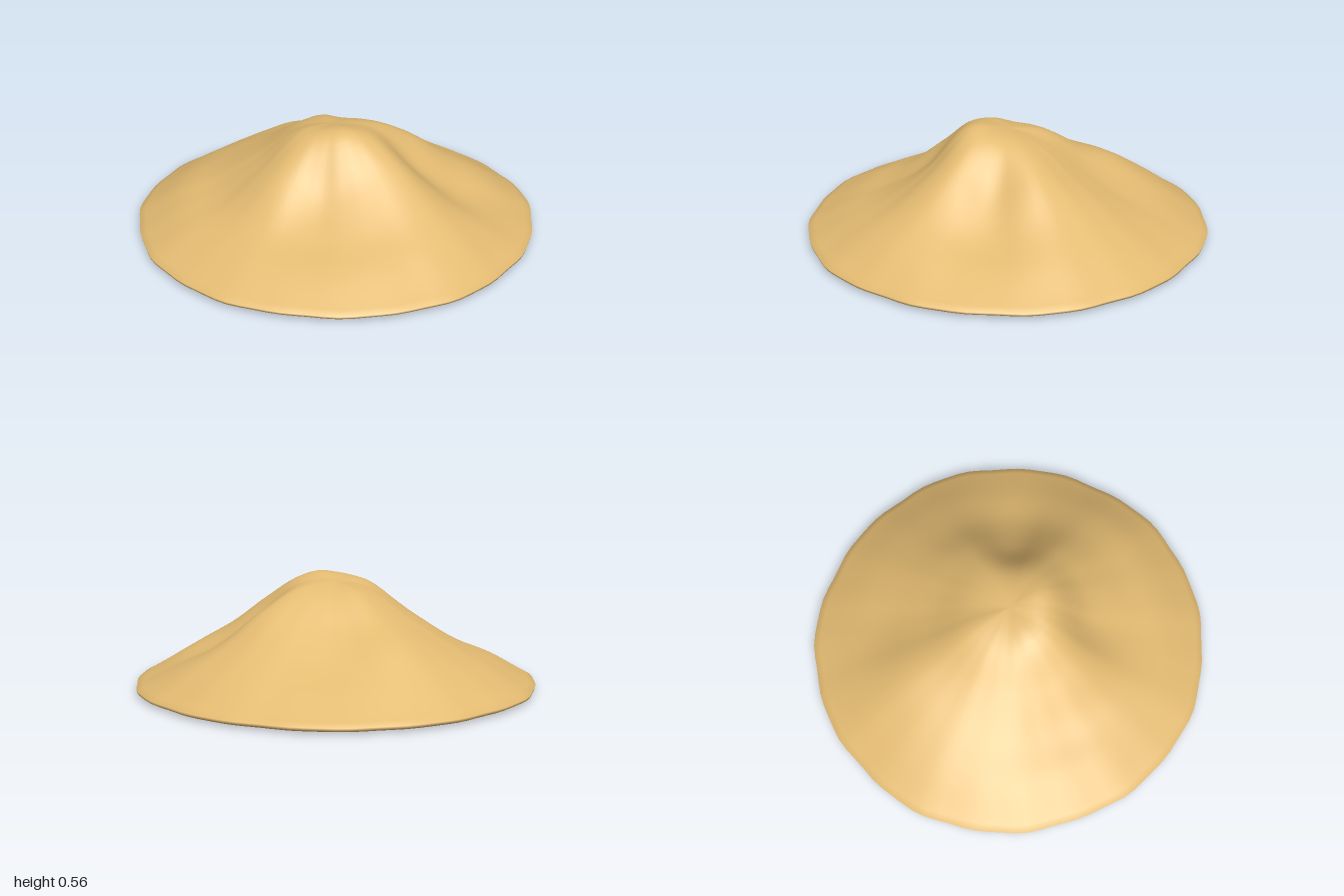
import * as THREE from 'three';

// Heights at radius 0.2, 0.4, 0.6, 0.8 for every 30 degrees, from +x round towards +z
const RIDGES = [
  [0.51, 0.415, 0.275, 0.16],
  [0.51, 0.33, 0.20, 0.125],
  [0.54, 0.425, 0.285, 0.17],
  [0.555, 0.375, 0.24, 0.145],
  [0.54, 0.32, 0.20, 0.13],
  [0.53, 0.385, 0.23, 0.135],
  [0.515, 0.36, 0.215, 0.14],
  [0.49, 0.36, 0.24, 0.15],
  [0.49, 0.37, 0.27, 0.16],
  [0.495, 0.38, 0.295, 0.17],
  [0.475, 0.335, 0.22, 0.13],
  [0.49, 0.375, 0.26, 0.15],
];
const PEAK = 0.535, RIM = 0.035, SEG = 96, RINGS = 30;

// Smooth curve through b and c
function cubic(a, b, c, d, t) {
  return b + 0.5 * t * (c - a + t * (2 * a - 5 * b + 4 * c - d + t * (3 * (b - c) + d - a)));
}

// Height along one of the twelve ridges
function ridgeHeight(k, r) {
  const own = RIDGES[(k + 12) % 12], opposite = RIDGES[(k + 18) % 12];
  const p = [opposite[0], PEAK, ...own, RIM, RIM - 0.09];
  const i = Math.min(4, Math.floor(r * 5));
  return cubic(p[i], p[i + 1], p[i + 2], p[i + 3], r * 5 - i);
}

function height(r, angle) {
  const s = angle / (Math.PI / 6), k = Math.floor(s);
  return cubic(...[-1, 0, 1, 2].map((o) => ridgeHeight(k + o, r)), s - k);
}

// Slightly uneven round outline
function outline(a) {
  return 0.992 - 0.005 * Math.cos(2 * a) + 0.004 * Math.sin(5 * a + 1)
    + 0.004 * Math.sin(11 * a) + 0.003 * Math.sin(23 * a + 2);
}

// Surface of concentric rings; heightAt gives y for a radius, angle and ring
function ringSurface(radii, heightAt, up) {
  const pos = [0, heightAt(0, 0), 0], index = [];
  radii.forEach((r, i) => {
    for (let j = 0; j < SEG; j++) {
      const a = (j / SEG) * Math.PI * 2, R = r * outline(a);
      pos.push(R * Math.cos(a), heightAt(r, a, i), R * Math.sin(a));
      const n = (j + 1) % SEG, cur = 1 + i * SEG, prev = cur - SEG;
      const tris = i === 0
        ? [[0, cur + n, cur + j]]
        : [[prev + j, prev + n, cur + j], [prev + n, cur + n, cur + j]];
      for (const [p, q, s] of tris) index.push(...(up ? [p, q, s] : [p, s, q]));
    }
  });
  const geo = new THREE.BufferGeometry();
  geo.setAttribute('position', new THREE.Float32BufferAttribute(pos, 3));
  geo.setIndex(index);
  geo.computeVertexNormals();
  return geo;
}

export function createModel() {
  const group = new THREE.Group();
  group.name = 'sandMound';
  const sand = new THREE.MeshStandardMaterial({ color: 0xe3bb72 });
  sand.name = 'sand';

  const add = (name, geo) => {
    const mesh = new THREE.Mesh(geo, sand);
    mesh.name = name;
    group.add(mesh);
  };

  // Rolling upper slopes, ending in a small tucked-under rim
  const radii = Array.from({ length: RINGS }, (_, i) => (i + 1) / RINGS);
  radii.push(0.997, 0.985);
  add('slopes', ringSurface(radii, (r, a, i) => (i === RINGS ? 0.022 : i === RINGS + 1 ? 0.016 : height(r, a)), true));

  // Shallow underside
  add('underside', ringSurface([0.35, 0.7, 0.985], (r) => 0.006 + 0.01 * (r / 0.985) ** 2, false));
  return group;
}
